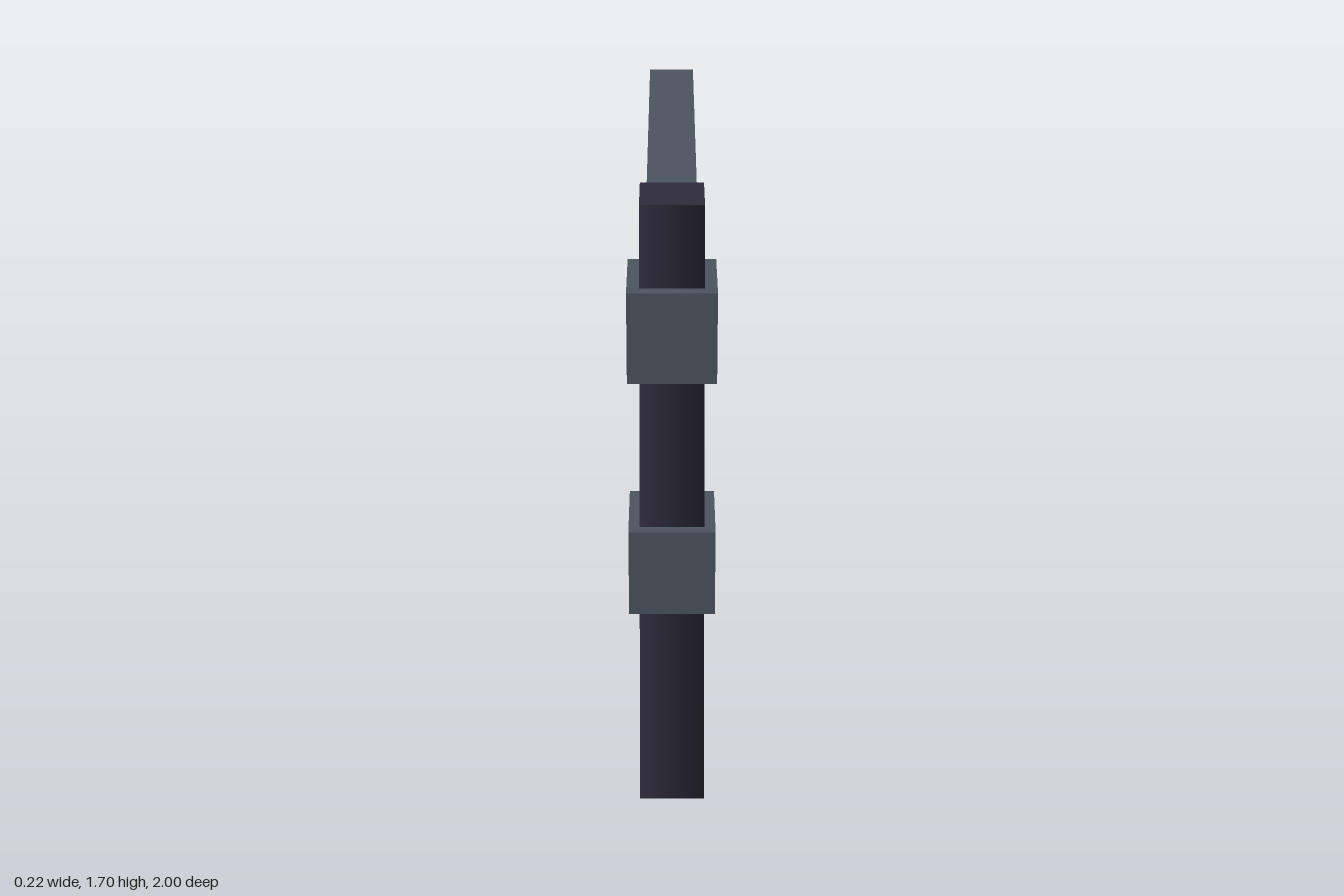
import * as THREE from 'three';

export function createModel() {
  const model = new THREE.Group();
  const postMat = new THREE.MeshStandardMaterial({ color: 0x2f2c3b });
  postMat.name = 'dark post';
  const beamMat = new THREE.MeshStandardMaterial({ color: 0x4c565f });
  beamMat.name = 'slate grey';

  const add = (name, geometry, material, x = 0, y = 0, z = 0) => {
    const mesh = new THREE.Mesh(geometry, material);
    mesh.name = name;
    mesh.position.set(x, y, z);
    model.add(mesh);
    return mesh;
  };

  const postZ = 0.89;

  // Square post, slightly tapered, with soft shading round its sides
  const postGeo = new THREE.CylinderGeometry(0.078 * Math.SQRT2, 0.086 * Math.SQRT2, 1.7, 4);
  postGeo.rotateY(Math.PI / 4);
  add('post', postGeo, postMat, 0, 0.85, postZ);

  // Collars gripping the post
  const collarGeo = new THREE.BoxGeometry(0.22, 0.24, 0.22);
  add('lowerCollar', collarGeo, beamMat, 0, 0.715, postZ);
  add('upperCollar', collarGeo, beamMat, 0, 1.368, postZ);

  // Horizontal beam reaching backward
  add('beam', new THREE.BoxGeometry(0.14, 0.15, 1.8), beamMat, 0, 1.365, -0.1);

  // Diagonal brace: side profile (u = -z, y) cut flush under the beam
  const profile = new THREE.Shape([
    [-0.8, 0.66], [0.35, 1.29], [0.11, 1.29], [-0.8, 0.815],
  ].map(([u, y]) => new THREE.Vector2(u, y)));
  const braceGeo = new THREE.ExtrudeGeometry(profile, { depth: 0.14, bevelEnabled: false });
  braceGeo.translate(0, 0, -0.07).rotateY(Math.PI / 2);
  add('brace', braceGeo, beamMat);

  return model;
}
